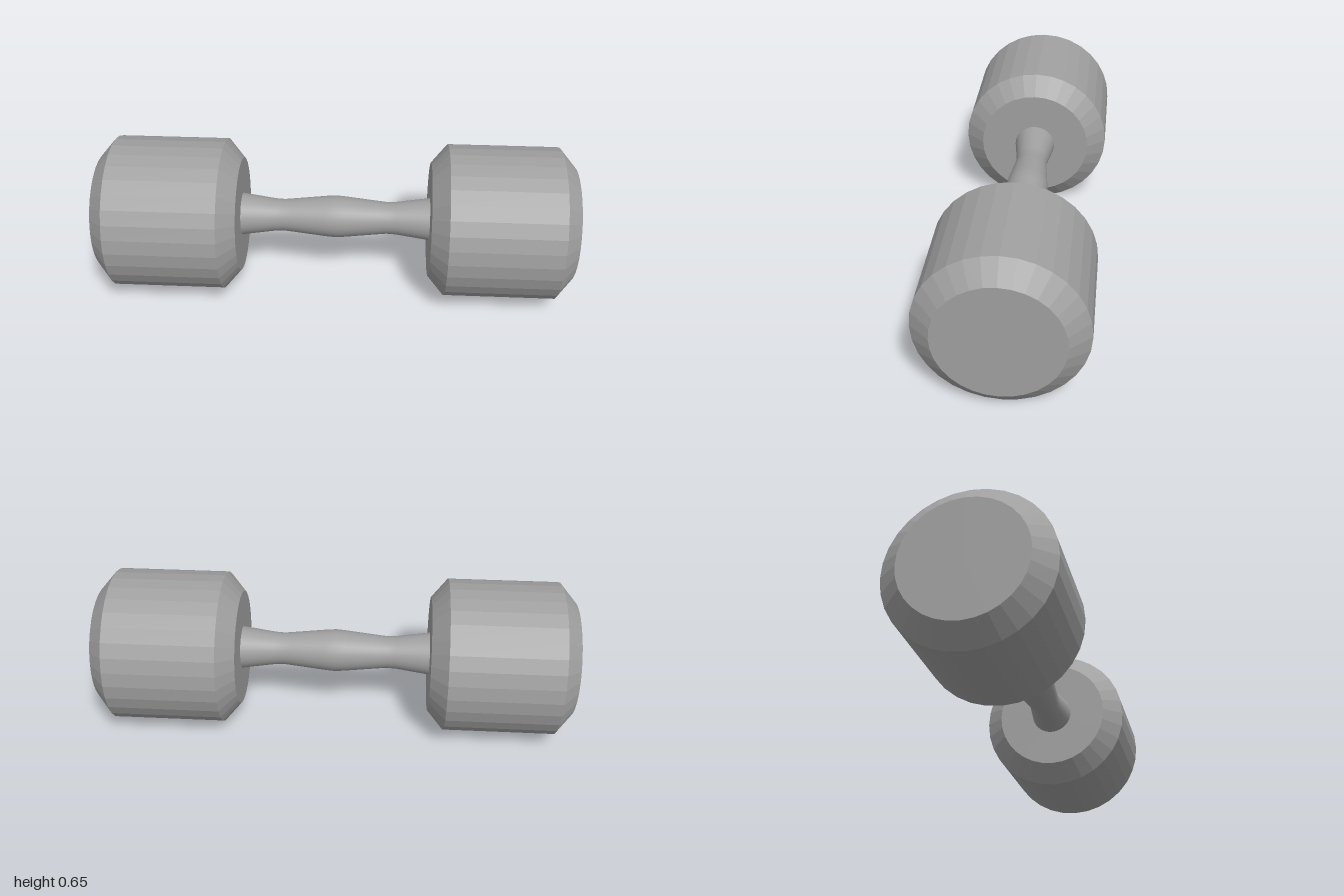
import * as THREE from 'three';

const SIDES = 32;
const RADIUS = 0.323;

export function createModel() {
  const model = new THREE.Group();
  model.name = 'dumbbell';
  const steel = new THREE.MeshStandardMaterial({ color: 0xa0a0a0 });
  steel.name = 'grey steel';

  // Turned part along x; profile is a list of [radius, x] with x increasing
  const turn = (name, profile, smooth) => {
    const points = profile.map(([r, x]) => new THREE.Vector2(r, x));
    let geometry = new THREE.LatheGeometry(points, SIDES);
    geometry.rotateZ(-Math.PI / 2);
    if (!smooth) {
      // Faceted surface: one normal per face
      geometry = geometry.toNonIndexed();
      geometry.computeVertexNormals();
    }
    const mesh = new THREE.Mesh(geometry, steel);
    mesh.name = name;
    mesh.position.y = RADIUS;
    model.add(mesh);
    return mesh;
  };

  // Chamfered drum weights at both ends
  for (const side of [1, -1]) {
    const weight = turn(side > 0 ? 'leftWeight' : 'rightWeight', [
      [0, -0.3], [0.243, -0.3], [RADIUS, -0.232],
      [RADIUS, 0.232], [0.243, 0.3], [0, 0.3],
    ], false);
    weight.position.x = side * 0.7;
  }

  // Grip, swelling at the middle and at the weights
  turn('handle', [
    [0.09, -0.4], [0.07, -0.26], [0.068, -0.22], [0.072, -0.18],
    [0.087, -0.04], [0.09, 0], [0.087, 0.04],
    [0.072, 0.18], [0.068, 0.22], [0.07, 0.26], [0.09, 0.4],
  ], true);

  return model;
}
